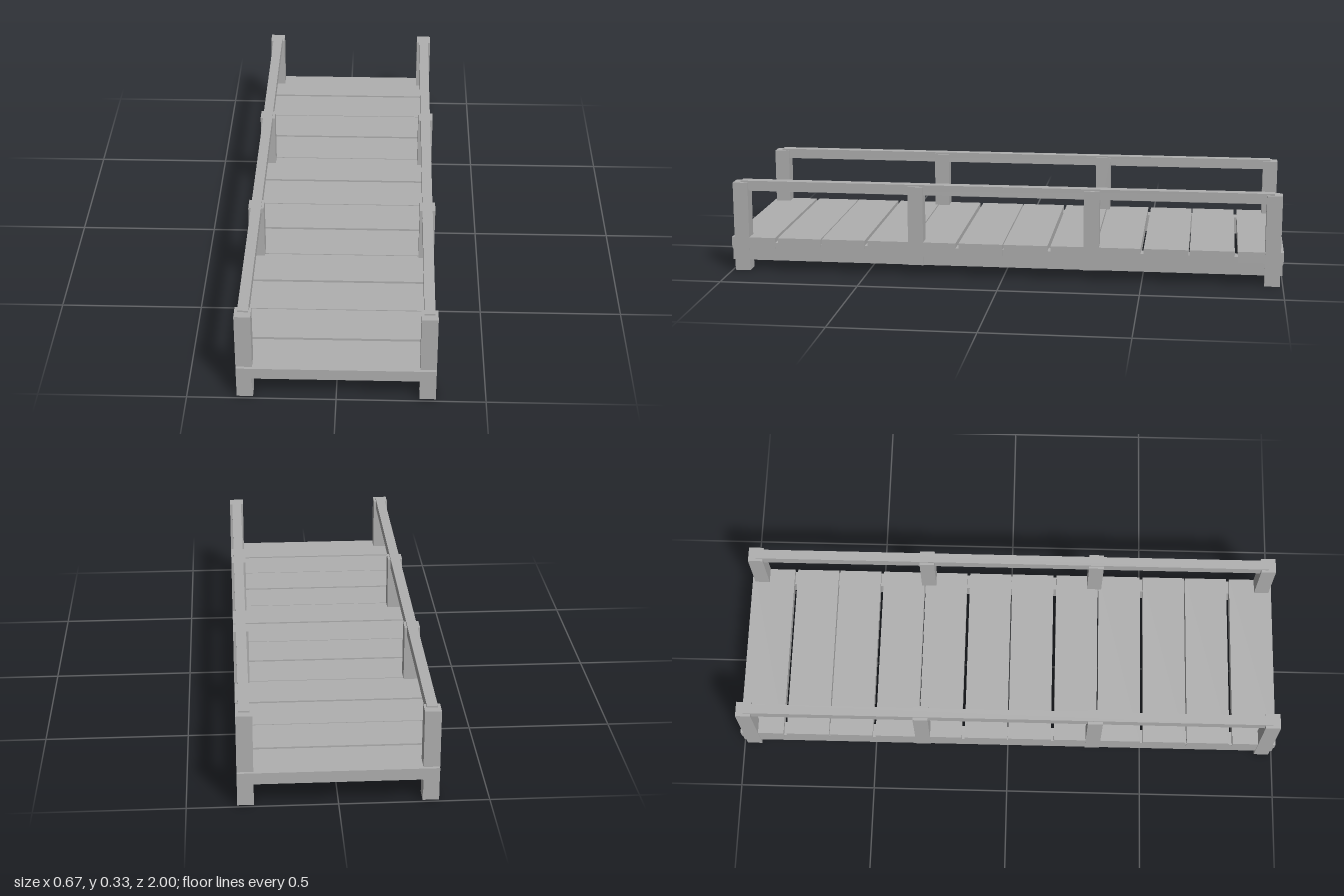
import * as THREE from 'three';

export function createModel() {
  const group = new THREE.Group();
  group.name = 'footbridge';
  const wood = new THREE.MeshStandardMaterial({ color: 0xb0b0b0 });
  wood.name = 'plain grey';

  // Box given by its limits on each axis
  function block(name, x0, x1, y0, y1, z0, z1) {
    const mesh = new THREE.Mesh(new THREE.BoxGeometry(x1 - x0, y1 - y0, z1 - z0), wood);
    mesh.position.set((x0 + x1) / 2, (y0 + y1) / 2, (z0 + z1) / 2);
    mesh.name = name;
    group.add(mesh);
  }

  // Deck planks, with alternating wide and narrow gaps
  const count = 12, pitch = 2 / count;
  const gap = i => (i === 0 || i === count ? 0 : i % 2 ? 0.011 : 0.004);
  for (let i = 0; i < count; i++) {
    block('deckPlank', -0.332, 0.332, 0.083, 0.124,
      -1 + i * pitch + gap(i) / 2, -1 + (i + 1) * pitch - gap(i + 1) / 2);
  }

  // Beams, handrails and posts, mirrored on both sides
  for (const [side, s] of [['left', 1], ['right', -1]]) {
    const sided = (part, a, b, ...rest) =>
      block(side + part, Math.min(s * a, s * b), Math.max(s * a, s * b), ...rest);
    sided('Beam', 0.28, 0.331, 0.04, 0.105, -0.997, 0.997);
    sided('Handrail', 0.287, 0.323, 0.297, 0.334, -0.962, 0.962);
    for (const z of [-0.962, -0.318, 0.318, 0.962]) {
      const isEnd = Math.abs(z) > 0.5;
      sided(isEnd ? 'EndPost' : 'MiddlePost', 0.278, 0.333,
        isEnd ? 0 : 0.039, 0.328, z - 0.0275, z + 0.0275);
    }
  }
  return group;
}
